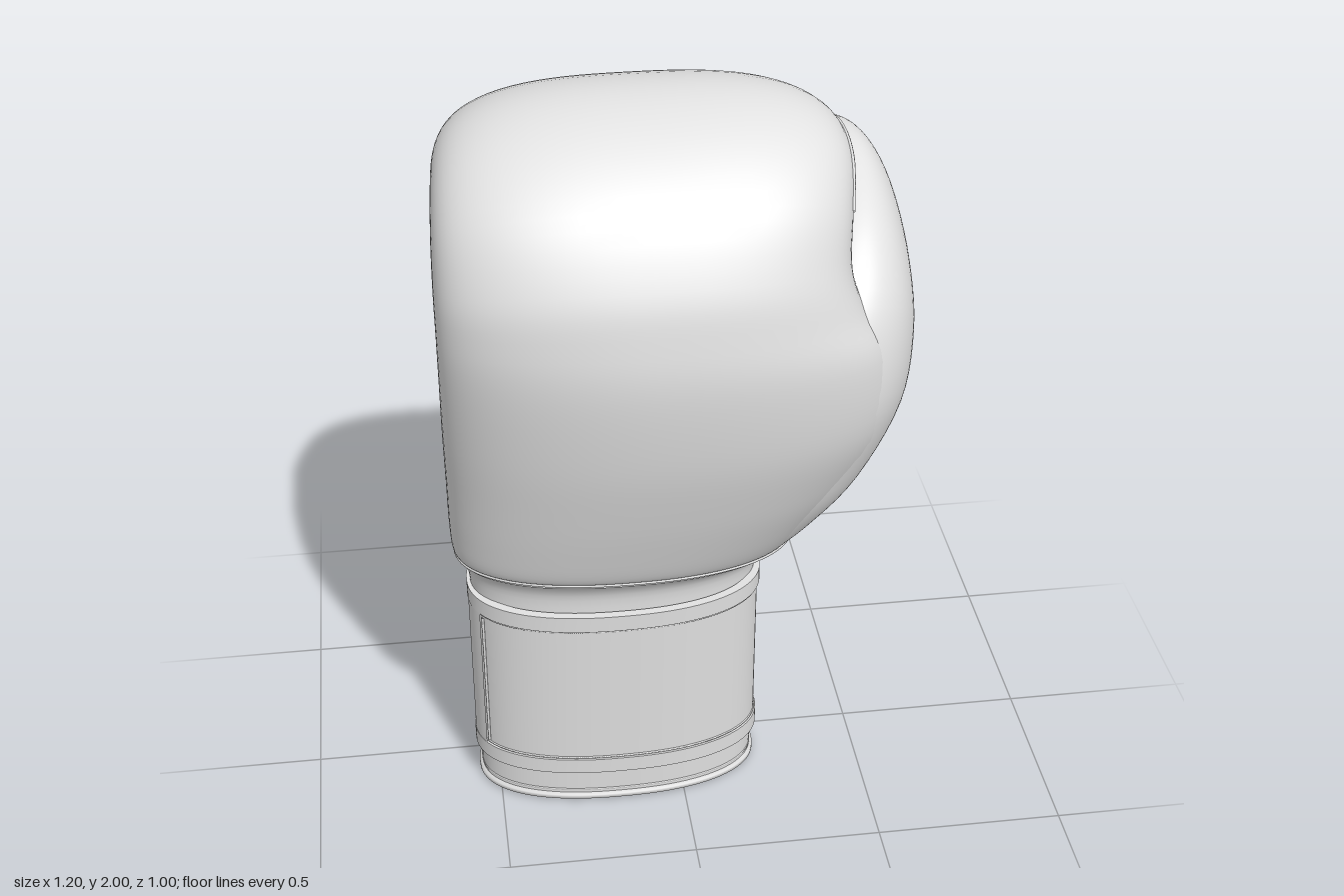
import * as THREE from 'three';
import { toCreasedNormals } from 'three/addons/utils/BufferGeometryUtils.js';

// A cross-section row: [outerZ, outerY, innerZ, innerY, xMin, xMax, squareness].
const HAND = [
  [0.275, 0.62, -0.107, 0.62, -0.548, 0.205, 2.3],
  [0.280, 0.71, -0.108, 0.71, -0.557, 0.220, 2.3],
  [0.318, 0.77, -0.110, 0.77, -0.575, 0.285, 2.3],
  [0.346, 0.80, -0.112, 0.80, -0.592, 0.310, 2.3],
  [0.380, 0.89, -0.115, 0.89, -0.597, 0.375, 2.3],
  [0.425, 1.03, -0.100, 1.01, -0.598, 0.460, 2.25],
  [0.472, 1.21, -0.060, 1.18, -0.600, 0.525, 2.2],
  [0.500, 1.42, 0.000, 1.36, -0.600, 0.500, 2.2],
  [0.492, 1.56, 0.025, 1.46, -0.600, 0.435, 2.3],
  [0.460, 1.69, 0.020, 1.53, -0.600, 0.400, 2.45],
  [0.360, 1.85, 0.000, 1.57, -0.597, 0.410, 2.65],
  [0.190, 1.965, -0.030, 1.585, -0.590, 0.430, 2.75],
  [0.000, 2.00, -0.070, 1.58, -0.580, 0.425, 2.8],
  [-0.190, 1.955, -0.105, 1.56, -0.560, 0.390, 2.8],
  [-0.360, 1.84, -0.130, 1.52, -0.540, 0.350, 2.8],
  [-0.470, 1.66, -0.150, 1.46, -0.520, 0.330, 2.8],
  [-0.497, 1.52, -0.165, 1.39, -0.505, 0.320, 2.8],
  [-0.475, 1.37, -0.180, 1.32, -0.480, 0.295, 2.7],
  [-0.425, 1.27, -0.210, 1.255, -0.445, 0.250, 2.6],
  [-0.360, 1.232, -0.260, 1.225, -0.370, 0.180, 2.5],
  [-0.310, 1.222, -0.309, 1.222, -0.250, 0.050, 2.5],
];
const THUMB = [
  [0.270, 0.78, -0.020, 0.78, 0.00, 0.28],
  [0.300, 0.86, -0.030, 0.85, 0.03, 0.36],
  [0.345, 1.02, -0.035, 0.97, 0.10, 0.468],
  [0.385, 1.27, -0.070, 1.10, 0.15, 0.560],
  [0.335, 1.50, -0.110, 1.18, 0.20, 0.592],
  [0.195, 1.65, -0.170, 1.245, 0.27, 0.598],
  [0.000, 1.75, -0.235, 1.29, 0.32, 0.592],
  [-0.150, 1.79, -0.300, 1.325, 0.34, 0.570],
  [-0.280, 1.77, -0.360, 1.37, 0.345, 0.530],
  [-0.370, 1.69, -0.400, 1.46, 0.35, 0.480],
  [-0.415, 1.58, -0.416, 1.57, 0.40, 0.430],
].map(row => [...row, 2.1]);

// Smooth interpolation between rows
function rowAt(rows, u) {
  const last = rows.length - 1, i = Math.min(Math.floor(u), last - 1), t = u - i;
  const r = k => rows[THREE.MathUtils.clamp(k, 0, last)];
  const [a, b, c, d] = [r(i - 1), r(i), r(i + 1), r(i + 2)];
  return b.map((_, k) => b[k] + 0.5 * t * (c[k] - a[k]
    + t * (2 * a[k] - 5 * b[k] + 4 * c[k] - d[k] + t * (3 * (b[k] - c[k]) + d[k] - a[k]))));
}

// Point on a rounded-rectangle section; lift moves it off the surface
function pointOn([oz, oy, iz, iy, x0, x1, n], angle, lift = 0) {
  const c = Math.cos(angle), s = Math.sin(angle);
  const k = (Math.abs(c) ** n + Math.abs(s) ** n) ** (-1 / n);
  const half = Math.hypot(oz - iz, oy - iy) / 2, v = s * k * (1 + lift / half) / 2;
  return new THREE.Vector3((x0 + x1) / 2 + c * k * ((x1 - x0) / 2 + lift),
    (oy + iy) / 2 + (oy - iy) * v, (oz + iz) / 2 + (oz - iz) * v);
}

// Grid surface from a point function
function grid(rows, cols, wrap, point) {
  const pos = [], index = [], w = wrap ? cols : cols + 1;
  for (let i = 0; i <= rows; i++)
    for (let j = 0; j < w; j++) pos.push(...point(i / rows, j / cols).toArray());
  for (let i = 0; i < rows; i++)
    for (let j = 0; j < cols; j++) {
      const k = (j + 1) % w, a = i * w + j, b = a + w, c = i * w + k, d = c + w;
      index.push(a, b, c, c, b, d);
    }
  const g = new THREE.BufferGeometry();
  g.setAttribute('position', new THREE.Float32BufferAttribute(pos, 3));
  g.setIndex(index);
  g.computeVertexNormals();
  return g;
}

function loft(rows, steps = 5) {
  const last = rows.length - 1;
  return grid(last * steps, 96, true, (u, v) => pointOn(rowAt(rows, u * last), v * Math.PI * 2));
}

// Horizontal section of the wrist, optionally grown outwards
const wristRow = (y, grow = 0) => {
  const t = y / 0.66;
  return [0.268 + 0.031 * t + grow, y, -0.114 - 0.004 * t - grow, y, -0.552 - grow, 0.214 + grow, 2.3];
};
function band(y0, y1, grow, inner) {
  const rows = [[y0, inner], [y0, grow], [y1, grow], [y1, inner]].map(([y, g]) => wristRow(y, g));
  return toCreasedNormals(loft(rows, 1), 0.6);
}
// Points round a section between two angles
const arc = (row, from, to, lift, count = 48) =>
  Array.from({ length: count }, (_, i) => pointOn(row, from + (to - from) * i / (count - 1), lift));

export function createModel() {
  const model = new THREE.Group();
  const mat = (name, color) => Object.assign(new THREE.MeshStandardMaterial({ color, side: THREE.DoubleSide }), { name });
  const leather = mat('pale grey leather', 0xe2e2e2);
  const dark = mat('black tab', 0x222222);
  const add = (name, geometry, material = leather) => {
    const m = new THREE.Mesh(geometry, material);
    m.name = name;
    model.add(m);
    return m;
  };
  const seam = (name, points, r = 0.005) => add(name,
    new THREE.TubeGeometry(new THREE.CatmullRomCurve3(points), points.length * 8, r, 6));

  // Padded hand, from the wrist neck up and curling over into the fist, and the thumb
  add('fistPadding', loft(HAND));
  add('thumb', loft(THUMB));

  // Inner cuff, split at the palm side
  const slitAngle = Math.PI * 1.5 - 0.03;
  const cuffPoint = grow => (u, v) => {
    const gap = 0.05 + 0.09 * (1 - u) ** 3;
    return pointOn(wristRow(0.015 + u * 0.62, grow), slitAngle + gap + v * (Math.PI * 2 - 2 * gap));
  };
  add('cuffOuter', grid(16, 96, false, cuffPoint(-0.006)));
  add('cuffLining', grid(16, 96, false, cuffPoint(-0.022)));
  for (const [y, r] of [[0.013, 0.012], [0.035, 0.004]])
    seam('cuffBinding', arc(wristRow(y, -0.008), slitAngle + 0.14, slitAngle + 6.14, 0), r);

  // Wrist strap with bound edges and an overlapping end
  add('wristStrap', band(0.12, 0.65, 0.003, -0.014));
  add('strapTopBinding', band(0.612, 0.66, 0.009, -0.014));
  add('strapBottomBinding', band(0.11, 0.158, 0.009, -0.014));
  const flapAngle = v => Math.PI * (0.86 + 0.11 * v);
  add('strapEndBinding', grid(8, 10, false, (u, v) => pointOn(wristRow(0.13 + u * 0.5, 0.008), flapAngle(v))));
  for (const y of [0.607, 0.163])
    seam('strapEdgeStitch', arc(wristRow(y, 0.003), 0, Math.PI * 2, 0), 0.003);
  seam('strapEndStitch', [0.17, 0.3, 0.45, 0.6].map(y => pointOn(wristRow(y, 0.005), flapAngle(-0.08))), 0.004);

  // Seams round the base of the hand, fading out towards the palm
  for (const u of [1.95, 2.45])
    seam('handBaseSeam', arc(rowAt(HAND, u), -0.5, Math.PI + 0.3, 0.002));

  // Fist seam beside the thumb, heel seam on the other side and thumb seam
  const surfaceSeam = (name, rows, list) =>
    seam(name, list.map(([u, a]) => pointOn(rowAt(rows, u), a, 0.001)));
  surfaceSeam('fistSideSeam', HAND,
    [[10, 0.3], [11, 0.36], [12, 0.38], [13, 0.34], [14, 0.24], [15, 0.1], [16, 0], [17, -0.2]]);
  surfaceSeam('heelSeam', HAND, [[1, 3.75], [2.6, 3.75], [3.5, 3.7], [4.5, 3.65], [5.5, 3.6], [6.6, 3.6]]);
  surfaceSeam('thumbSeam', THUMB, [[0.5, -1.3], [1.2, -1.0], [2, -0.9], [3, -1.1], [4, -1.4], [5, -1.7]]);

  // Palm opening with its stitched border
  const slitX = -0.185, slitStart = 0.6;
  const palm = (u, x, lift) => {
    const row = rowAt(HAND, u), mid = (row[4] + row[5]) / 2, half = (row[5] - row[4]) / 2;
    return pointOn(row, Math.atan2(-1, (x - mid) / half), lift);
  };
  const slitHalf = t => 0.012 + 0.03 * Math.sin(Math.PI * Math.min(1, t * 0.55 + 0.02)) * Math.sqrt(1 - t ** 6);
  add('palmOpening', grid(20, 6, false, (u, v) =>
    palm(slitStart + u * 5, slitX + slitHalf(u) * (2 * v - 1), 0.003)));
  for (const [margin, top] of [[0.012, 5.65], [0.085, 6.1]]) {
    const left = [], right = [];
    for (let i = 0; i <= 10; i++) {
      const t = i / 10, w = (margin + slitHalf(t * 0.8)) * (t === 1 ? 0.4 : 1);
      const u = slitStart + t * (top - slitStart);
      left.push(palm(u, slitX - w, 0.002));
      right.unshift(palm(u, slitX + w, 0.002));
    }
    seam('palmOpeningBorder', [...left, ...right], 0.006);
  }
  for (const side of [-1, 1])
    for (const u of [3.3, 4.4, 5.1])
      seam('palmRung', [0.04, 0.08, 0.12].map(d => palm(u, slitX + side * d, 0.002)), 0.004);

  // Small tab tucked between thumb and fist
  const tab = add('thumbTab', new THREE.BoxGeometry(0.038, 0.02, 0.14), dark);
  tab.position.set(0.382, 1.792, -0.22);
  tab.rotation.set(-0.22, 0.27, 0, 'YXZ');

  return model;
}
